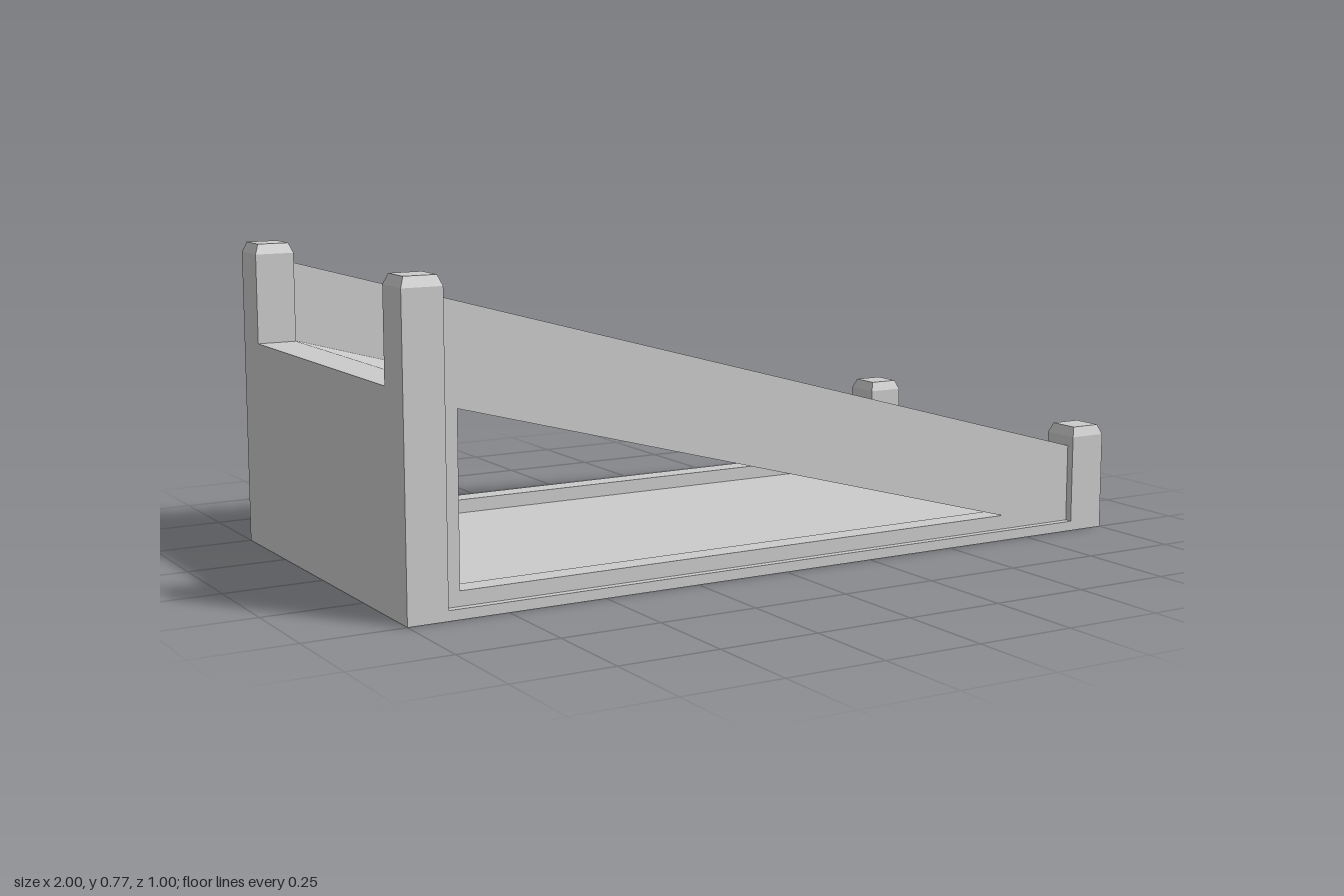
import * as THREE from 'three';

const material = new THREE.MeshStandardMaterial({ color: 0xcccccc, flatShading: true });

function addPart(group, name, geometry, x = 0, y = 0, z = 0) {
  const mesh = new THREE.Mesh(geometry, material);
  mesh.name = name;
  mesh.position.set(x, y, z);
  group.add(mesh);
  return mesh;
}

const outline = (points) => points.map(([x, y]) => new THREE.Vector2(x, y));

// Side profile extruded across z, centred on z = 0
function slab(points, width, hole) {
  const shape = new THREE.Shape(outline(points));
  if (hole) shape.holes.push(new THREE.Path(outline(hole)));
  const geometry = new THREE.ExtrudeGeometry(shape, { depth: width, bevelEnabled: false });
  return geometry.translate(0, 0, -width / 2);
}

// Square post with a chamfered top
function post(height) {
  const r = 0.05 * Math.SQRT2;
  const top = 0.04 * Math.SQRT2;
  const profile = outline([[0, 0], [r, 0], [r, height - 0.025], [top, height], [0, height]]);
  const geometry = new THREE.LatheGeometry(profile, 4, Math.PI / 4).toNonIndexed();
  geometry.computeVertexNormals();
  return geometry;
}

export function createModel() {
  const group = new THREE.Group();
  group.name = 'ramp';

  // Base plate
  addPart(group, 'base', new THREE.BoxGeometry(2, 0.025, 1), 0, 0.0125, 0);

  // End wall and sloping deck, hollow underneath
  addPart(group, 'deck', slab([
    [-1, 0.025], [-0.9, 0.025], [-0.9, 0.505], [0.83, 0.025],
    [0.9, 0.025], [-0.9, 0.525], [-1, 0.525],
  ], 0.84));

  for (const side of [1, -1]) {
    const label = side > 0 ? 'front' : 'back';

    // Side panel: rail above the deck, triangular opening below
    addPart(group, label + 'SidePanel', slab(
      [[-0.9, 0.025], [0.9, 0.025], [0.9, 0.225], [-0.9, 0.725]],
      0.06,
      [[-0.862, 0.061], [-0.862, 0.474], [0.683, 0.061]],
    ), 0, 0, side * 0.45);

    // Corner posts
    addPart(group, label + 'TallPost', post(0.775), -0.95, 0, side * 0.45);
    addPart(group, label + 'ShortPost', post(0.275), 0.95, 0, side * 0.45);
  }

  return group;
}
